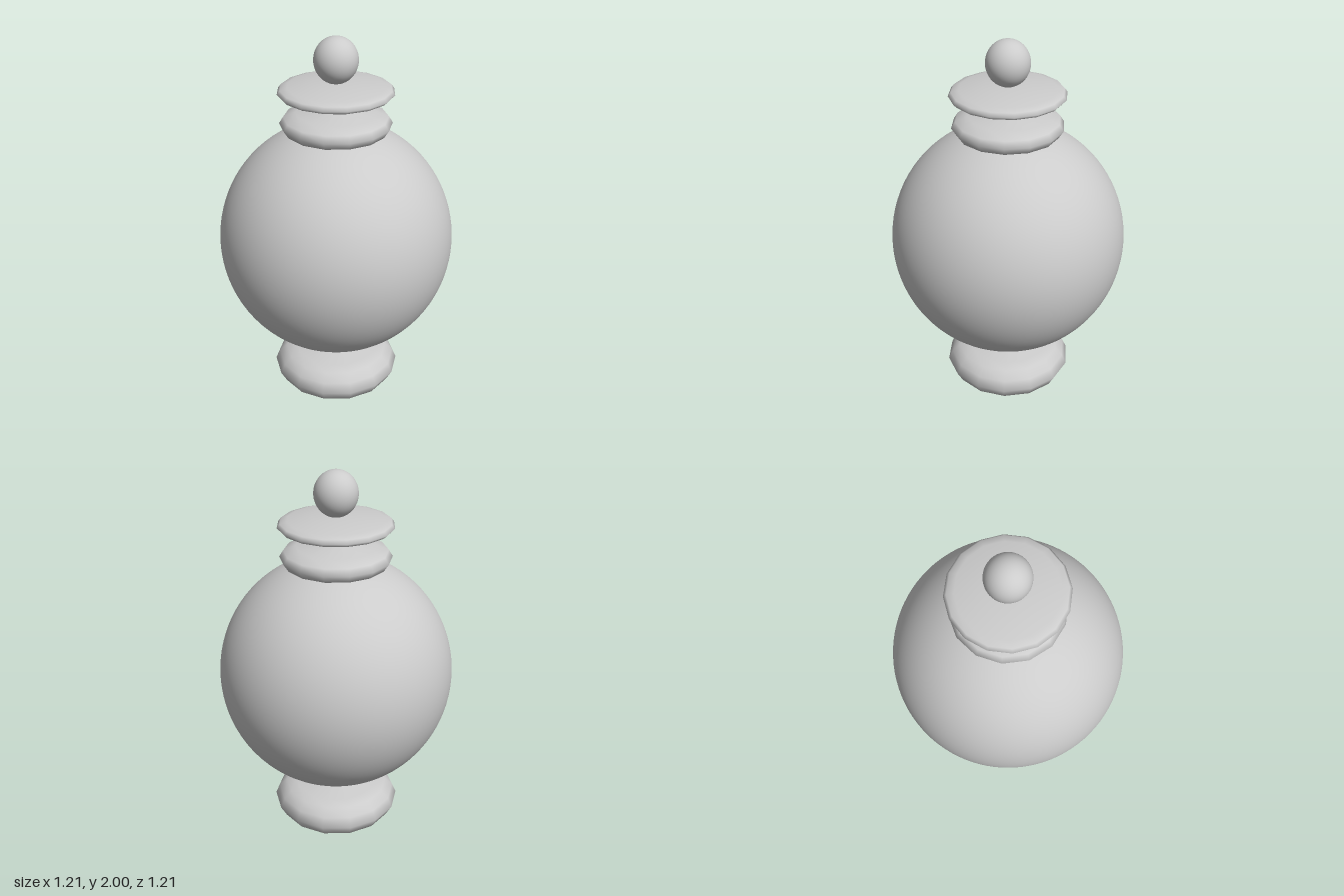
import * as THREE from 'three';

const material = new THREE.MeshStandardMaterial({ color: 0xcccccc });

export function createModel() {
  const group = new THREE.Group();

  const add = (name, geometry) => {
    const mesh = new THREE.Mesh(geometry, material);
    mesh.name = name;
    group.add(mesh);
    return mesh;
  };

  // Turned disc: [radius, y] profile from bottom to top
  const disc = (name, profile, sides) =>
    add(name, new THREE.LatheGeometry(profile.map(([r, y]) => new THREE.Vector2(r, y)), sides));

  // Slightly stretched ball
  const ball = (name, radius, height, y, sides) => {
    const mesh = add(name, new THREE.SphereGeometry(1, sides, sides / 2));
    mesh.scale.set(radius, height, radius);
    mesh.position.y = y;
  };

  // Faceted foot with conical top and underside
  disc('foot', [
    [0, 0], [0.245, 0.053], [0.305, 0.09], [0.338, 0.15],
    [0.315, 0.2], [0.275, 0.24], [0.22, 0.254], [0, 0.296],
  ], 14);

  ball('body', 0.603, 0.618, 0.94, 96);

  // Neck ring, sunk into the top of the body
  disc('neckRing', [
    [0, 1.48], [0.205, 1.515], [0.255, 1.53], [0.28, 1.568],
    [0.26, 1.6], [0.2, 1.625], [0, 1.658],
  ], 14);

  // Thin lid plate
  disc('lid', [
    [0, 1.676], [0.12, 1.68], [0.25, 1.705], [0.275, 1.715], [0.289, 1.73],
    [0.275, 1.748], [0.24, 1.758], [0.12, 1.776], [0, 1.778],
  ], 16);

  ball('knob', 0.109, 0.115, 1.885, 48);

  return group;
}
